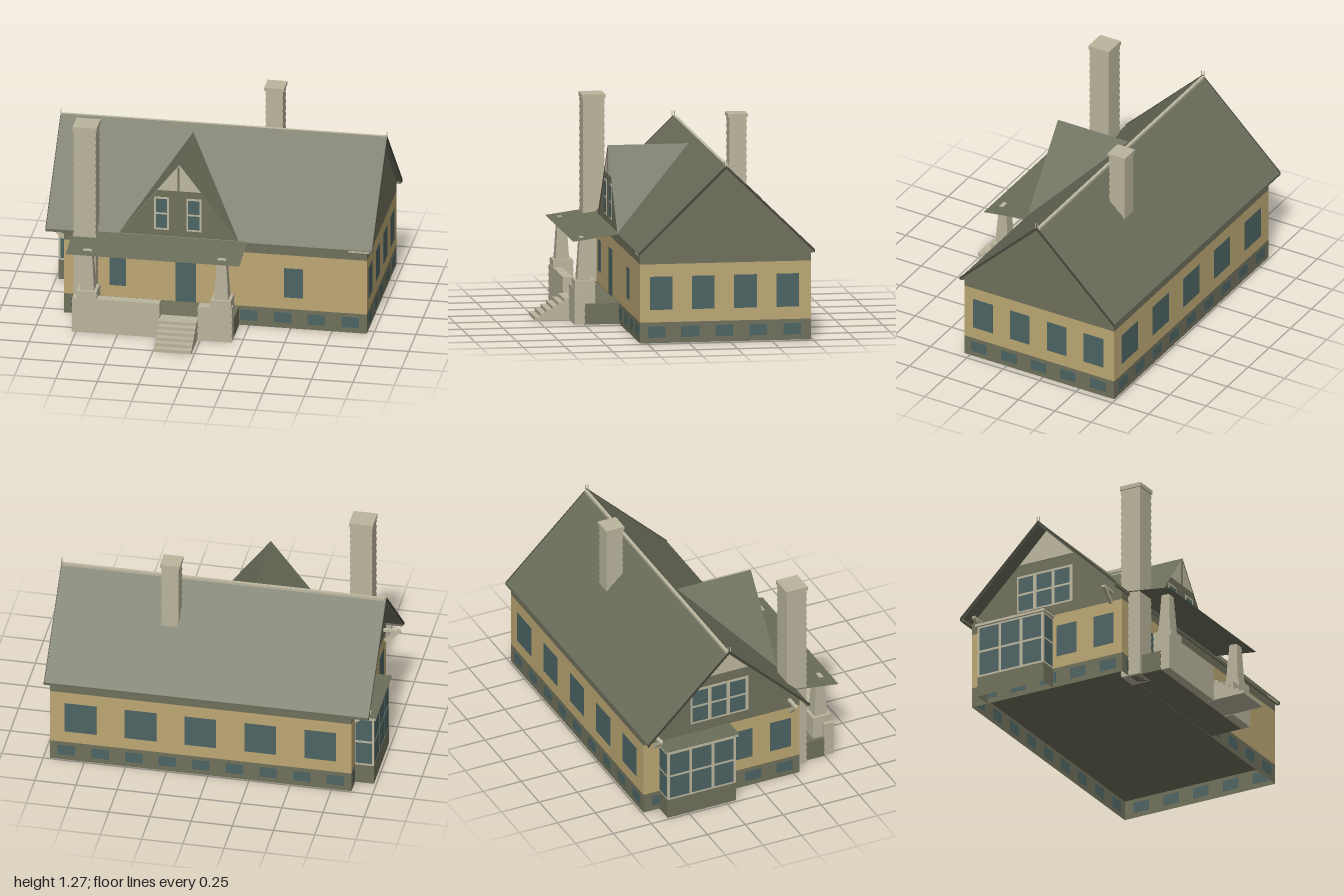
import * as THREE from 'three';

const mat = (name, color) => {
  const m = new THREE.MeshStandardMaterial({ color, side: THREE.DoubleSide });
  m.name = name;
  return m;
};

export function createModel() {
  const house = new THREE.Group();
  house.name = 'house';
  const roofGreen = mat('roof green', 0x6c6e5b);
  const shingle = mat('shingle green', 0x70705c);
  const siding = mat('tan siding', 0xbda874);
  const stone = mat('pale stone', 0xbbb59d);
  const glass = mat('blue glass', 0x4c6463);
  const trim = mat('pale trim', 0xbeb89f);
  const dark = mat('dark edge', 0x45463a);

  const add = (name, geo, material) => {
    const m = new THREE.Mesh(geo, material);
    m.name = name;
    house.add(m);
    return m;
  };
  // Box given by its limits
  const box = (name, material, x0, x1, y0, y1, z0, z1) =>
    add(name, new THREE.BoxGeometry(x1 - x0, y1 - y0, z1 - z0)
      .translate((x0 + x1) / 2, (y0 + y1) / 2, (z0 + z1) / 2), material);
  // Outline of [z, y] points extruded along x
  const prismX = (name, material, pts, x0, x1) => {
    const s = new THREE.Shape(pts.map(([z, y]) => new THREE.Vector2(-z, y)));
    const g = new THREE.ExtrudeGeometry(s, { depth: x1 - x0, bevelEnabled: false });
    return add(name, g.rotateY(Math.PI / 2).translate(x0, 0, 0), material);
  };
  // Flat faces from triangles of points
  const faces = (name, material, tris) => {
    const g = new THREE.BufferGeometry();
    g.setAttribute('position', new THREE.Float32BufferAttribute(tris.flat(2), 3));
    g.computeVertexNormals();
    return add(name, g, material);
  };
  const quad = (a, b, c, d) => [a, b, c, a, c, d];
  // Stone block with softly shaded bulging courses; taper narrows the top
  const masonry = (name, x0, x1, y0, y1, z0, z1, taper = 1, bulge = 0.004) => {
    const n = Math.max(1, Math.round((y1 - y0) / 0.044)), h = y1 - y0;
    const g = new THREE.BoxGeometry(x1 - x0, h, z1 - z0, 1, 2 * n, 1);
    const p = g.attributes.position;
    for (let i = 0; i < p.count; i++) {
      const t = p.getY(i) / h + 0.5;
      const b = Math.round(t * 2 * n) % 2 ? bulge : 0;
      const k = 1 + (taper - 1) * t;
      p.setX(i, p.getX(i) * k + Math.sign(p.getX(i)) * b);
      p.setZ(i, p.getZ(i) * k + Math.sign(p.getZ(i)) * b);
    }
    return add(name, g.translate((x0 + x1) / 2, (y0 + y1) / 2, (z0 + z1) / 2), stone);
  };
  // Thin panes on walls facing z or x
  const T = 0.0015;
  const paneZ = (name, m, x0, x1, y0, y1, z, t = T) => box(name, m, x0, x1, y0, y1, z - t, z + t);
  const paneX = (name, m, z0, z1, y0, y1, x, t = T) => box(name, m, x - t, x + t, y0, y1, z0, z1);

  const L = -0.87, R = 0.96, B = -0.74, F = 0.29, RZ = -0.225, FY = 0.125;

  // Foundation, open underneath
  const ring = (name, x0, x1, z0, z1) => {
    const c = [[x0, z1], [x1, z1], [x1, z0], [x0, z0]];
    faces(name, shingle, c.flatMap(([ax, az], i) => {
      const [bx, bz] = c[(i + 1) % 4];
      return quad([ax, 0, az], [bx, 0, bz], [bx, FY, bz], [ax, FY, az]);
    }));
  };
  ring('foundation', L, R, B, F);
  box('floorUnderside', shingle, L + 0.002, R - 0.002, FY - 0.004, FY + 0.004, B + 0.002, F - 0.002);
  for (let i = 0; i < 9; i++) {
    const x = 0.86 - i * 0.204;
    for (const z of [B, F]) paneZ('basementWindow', glass, x - 0.053, x + 0.053, 0.033, 0.1, z);
  }
  for (let i = 0; i < 5; i++) {
    const z = 0.19 - i * 0.204;
    for (const x of [L, R]) paneX('basementWindow', glass, z - 0.053, z + 0.053, 0.033, 0.1, x);
  }

  // Walls and gabled upper storey
  box('sidingWalls', siding, L, R, FY, 0.475, B, F);
  prismX('gableWalls', shingle,
    [[F, 0.475], [F, 0.54], [RZ, 1.05], [B, 0.54], [B, 0.475]], L, R);
  paneZ('door', glass, -0.195, -0.07, FY, 0.405, F);
  paneZ('frontWindow', glass, -0.595, -0.495, 0.2, 0.39, F);
  paneZ('frontWindow', glass, 0.46, 0.575, 0.2, 0.39, F);
  for (let i = 0; i < 5; i++) {
    const x = 0.775 - i * 0.364;
    paneZ('backWindow', glass, x - 0.096, x + 0.096, 0.2, 0.4, B);
  }
  for (let i = 0; i < 4; i++) {
    const z = 0.163 - i * 0.254;
    paneX('sideWindow', glass, z - 0.068, z + 0.068, 0.2, 0.4, R);
    if (i < 2) paneX('sideWindow', glass, z - 0.068, z + 0.068, 0.2, 0.4, L);
  }

  // Main roof with rake boards, eaves, ridge cap and finials
  prismX('mainRoof', roofGreen, [[0.302, 0.542], [RZ, 1.06], [-0.757, 0.542],
    [-0.757, 0.525], [RZ, 1.04], [0.302, 0.525]], -0.975, 0.99);
  for (const x of [-0.979, 0.99]) {
    prismX('rakeBoard', dark, [[0.305, 0.546], [RZ, 1.064], [-0.76, 0.546],
      [-0.76, 0.528], [RZ, 1.044], [0.305, 0.528]], x, x + 0.004);
    for (const z of [RZ - 0.01, RZ + 0.006])
      box('finial', trim, x, x + 0.004, 1.05, 1.09, z, z + 0.004);
  }
  box('ridgeCap', trim, -0.97, 0.985, 1.045, 1.061, RZ - 0.018, RZ);
  for (const z of [0.288, -0.752]) box('eaveBoard', shingle, -0.97, 0.985, 0.525, 0.542, z, z + 0.012);
  box('eaveBeamEnd', trim, 0.85, 0.975, 0.527, 0.538, 0.296, 0.303);

  // Right gable: peak trim, three windows, brackets
  prismX('gablePeakTrim', trim, [[-0.04, 0.85], [RZ, 1.035], [-0.41, 0.85]], L - 0.009, L);
  paneX('gableWindowFrame', trim, -0.43, -0.05, 0.54, 0.78, L, 0.004);
  for (let i = 0; i < 3; i++) for (let j = 0; j < 2; j++) {
    const z = -0.418 + i * 0.124, y = 0.552 + j * 0.114;
    paneX('gableWindowPane', glass, z, z + 0.1, y, y + 0.1, L, 0.0047);
  }
  for (const z of [0.22, -0.67]) {
    box('bracketBeam', trim, -0.975, L, 0.525, 0.54, z - 0.01, z + 0.01);
    const strut = add('bracketStrut', new THREE.BoxGeometry(0.12, 0.02, 0.02), trim);
    strut.position.set(-0.925, 0.498, z);
    strut.rotation.z = -0.75;
  }

  // Bay window
  const bx = -0.985, b0 = -0.635, b1 = -0.185;
  ring('bayFoundation', bx, L, b0, b1);
  box('bayFrame', trim, bx, L, FY, 0.455, b0, b1);
  for (let j = 0; j < 2; j++) {
    const y = 0.138 + j * 0.16;
    for (let i = 0; i < 3; i++) {
      const z = b0 + 0.015 + i * 0.146;
      paneX('bayPane', glass, z, z + 0.127, y, y + 0.145, bx);
    }
    for (const z of [b0, b1]) paneZ('bayPane', glass, bx + 0.012, L - 0.005, y, y + 0.145, z);
  }
  box('bayCornice', trim, -0.997, L, 0.455, 0.472, b0 - 0.012, b1 + 0.012);
  box('bayRoof', roofGreen, -0.998, L, 0.472, 0.476, b0 - 0.013, b1 + 0.013);

  // Front dormer
  const peak = [-0.17, 1.02, 0.302], back = [-0.17, 1.02, -0.185];
  const dl = [-0.54, 0.543, 0.302], dr = [0.19, 0.543, 0.302];
  faces('dormerRoof', roofGreen, [dl, peak, back, peak, dr, back]);
  faces('dormerWall', shingle, [[[-0.537, 0.543, 0.296], [0.187, 0.543, 0.296], [-0.17, 1.015, 0.296]]]);
  faces('dormerPeakTrim', trim, [[[-0.305, 0.845, 0.299], [-0.038, 0.845, 0.299], [-0.17, 1.015, 0.299]]]);
  box('dormerPost', shingle, -0.18, -0.17, 0.845, 1.0, 0.298, 0.301);
  for (const x of [-0.278, -0.083]) {
    paneZ('dormerWindowFrame', trim, x - 0.045, x + 0.045, 0.588, 0.8, 0.296, 0.003);
    for (const y of [0.6, 0.7]) paneZ('dormerPane', glass, x - 0.034, x + 0.034, y, y + 0.088, 0.298, 0.002);
  }

  // Porch floor, parapets, piers and tapered columns
  box('porchFloor', shingle, -0.775, 0.19, 0, FY, F + 0.003, 0.5);
  masonry('porchParapet', -0.772, -0.247, 0, 0.22, 0.5, 0.558);
  masonry('porchParapet', -0.013, 0.19, 0, 0.22, 0.5, 0.558);
  for (const x of [-0.687, 0.123]) {
    masonry('porchPier', x - 0.06, x + 0.06, 0.1, 0.265, 0.437, 0.555);
    masonry('porchColumn', x - 0.042, x + 0.042, 0.265, 0.519, 0.457, 0.537, 0.62, 0.002);
  }
  faces('porchRoof', roofGreen, quad([-0.81, 0.508, 0.575], [0.24, 0.508, 0.575],
    [0.24, 0.546, 0.298], [-0.81, 0.546, 0.298]));

  // Front steps
  for (let i = 0; i < 6; i++)
    box('step', stone, -0.245, -0.018, 0, 0.021 * (i + 1), 0.5, 0.765 - i * 0.035);

  // Chimneys
  masonry('frontChimney', -0.795, -0.665, 0, 1.225, 0.243, 0.368);
  box('frontChimneyCap', stone, -0.802, -0.657, 1.225, 1.25, 0.235, 0.376);
  masonry('backChimney', 0.24, 0.34, 0.78, 1.25, -0.45, -0.35);
  box('backChimneyCap', stone, 0.23, 0.35, 1.25, 1.27, -0.46, -0.34);

  return house;
}
